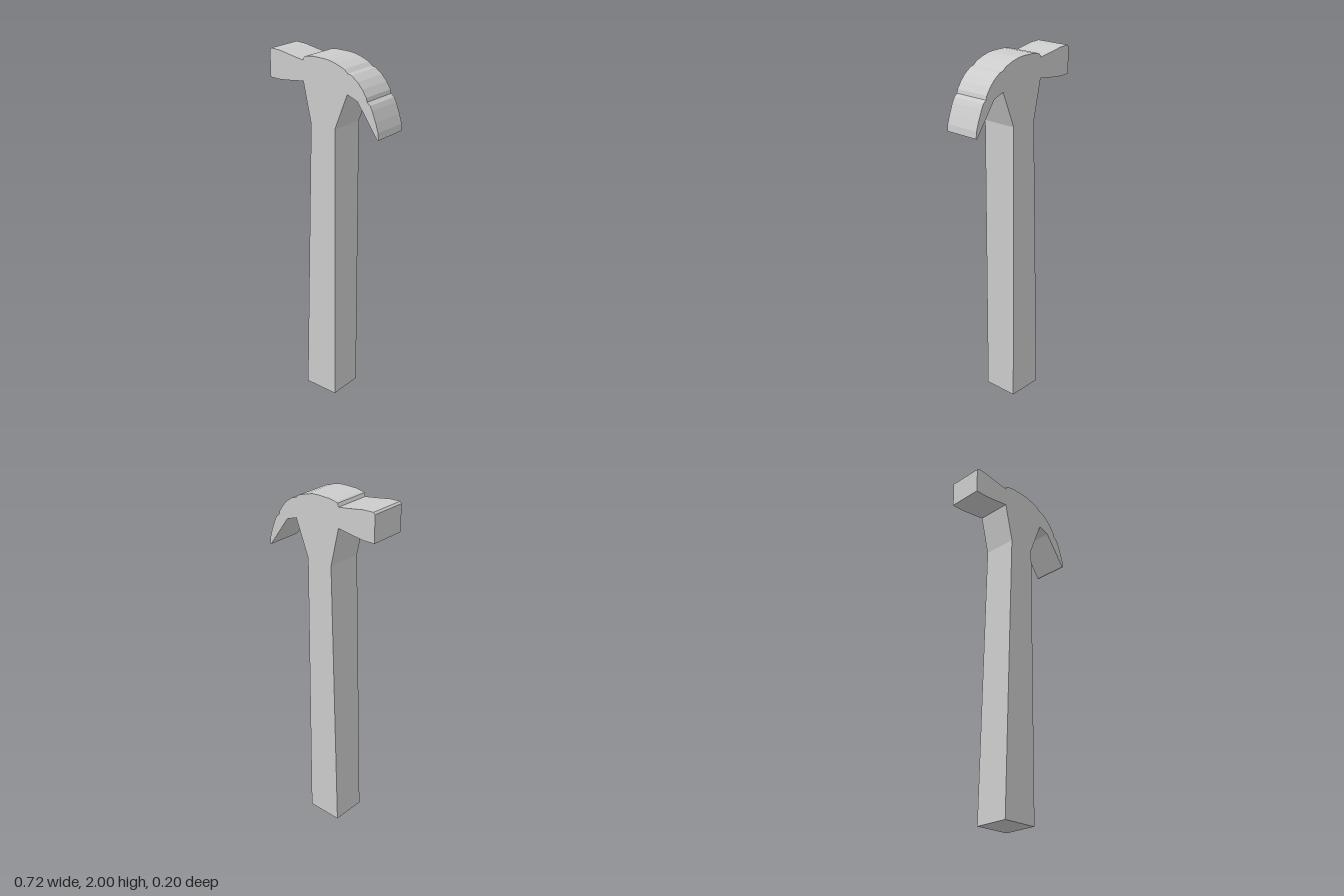
import * as THREE from 'three';

const DEPTH = 0.203;

// Extrude an outline in the XY plane, centred on z = 0
function slab(name, points, material) {
  const shape = new THREE.Shape(points.map(([x, y]) => new THREE.Vector2(x, y)));
  const geometry = new THREE.ExtrudeGeometry(shape, { depth: DEPTH, bevelEnabled: false });
  geometry.translate(0, 0, -DEPTH / 2);
  const mesh = new THREE.Mesh(geometry, material);
  mesh.name = name;
  return mesh;
}

export function createModel() {
  const group = new THREE.Group();
  group.name = 'clawHammer';
  const material = new THREE.MeshStandardMaterial({ color: 0xcccccc, flatShading: true });

  // Handle: straight on the claw side, widening downward on the other
  const handle = [[-0.13, 0], [0.08, 0], [0.08, 1.64], [-0.08, 1.64]];

  // Head, counter-clockwise from the neck
  const head = [
    [-0.08, 1.64], [0.08, 1.64],
    // underside of the claw
    [0.16, 1.84], [0.225, 1.817], [0.353, 1.64],
    // claw tip and stepped, curved back
    [0.36, 1.642], [0.356, 1.68], [0.34, 1.73], [0.318, 1.785], [0.305, 1.81],
    [0.285, 1.825], [0.28, 1.846], [0.255, 1.883], [0.225, 1.915], [0.185, 1.943],
    [0.162, 1.948], [0.14, 1.967], [0.09, 1.985], [0.042, 1.997],
    // crown and step down to the striking block
    [0, 2], [-0.07, 2], [-0.11, 1.994], [-0.122, 1.988], [-0.13, 1.97],
    // striking block
    [-0.2, 1.981], [-0.29, 1.997], [-0.35, 2], [-0.36, 1.99],
    [-0.36, 1.842], [-0.29, 1.841], [-0.22, 1.848], [-0.13, 1.86],
  ];

  group.add(slab('handle', handle, material), slab('head', head, material));
  return group;
}
